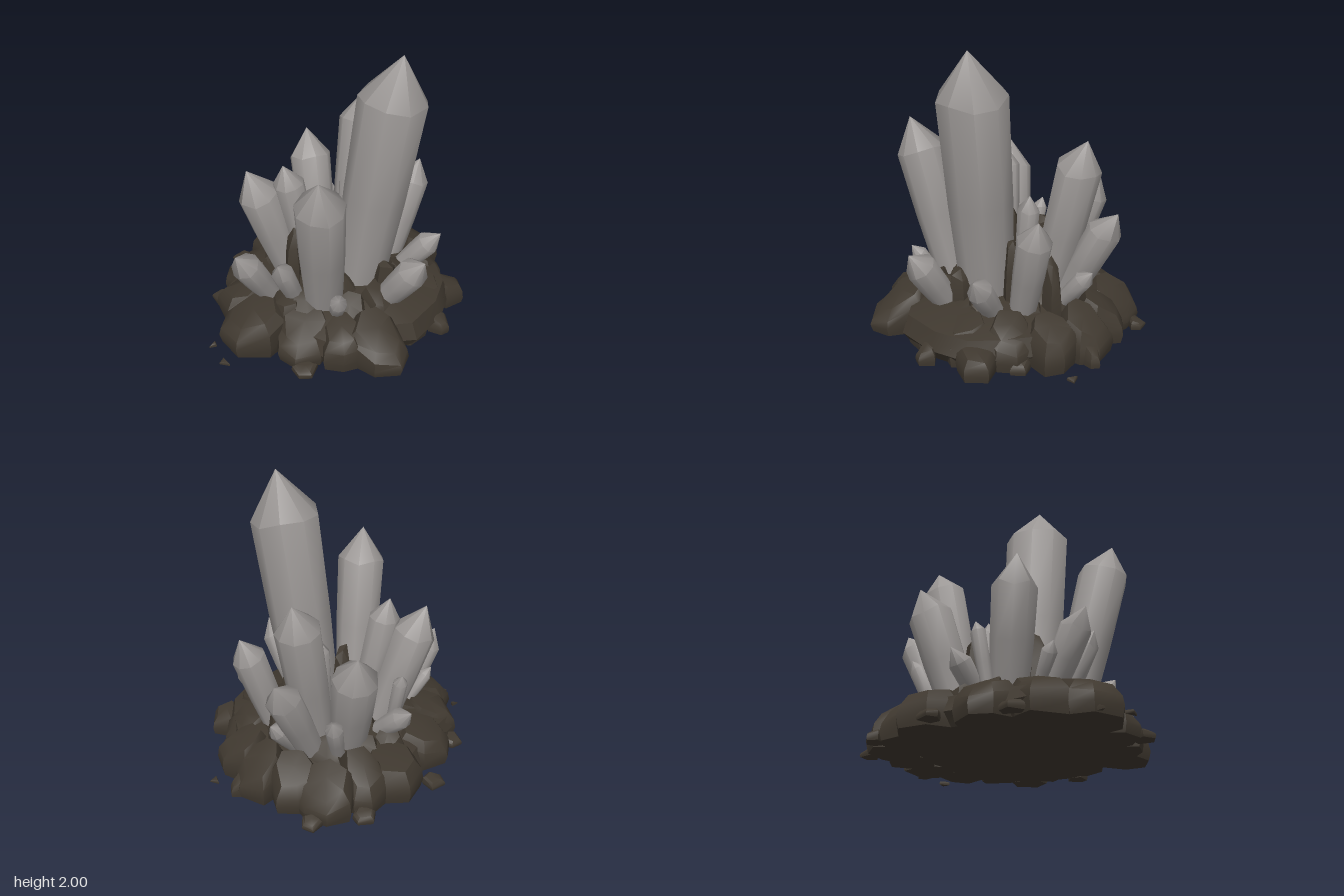
import * as THREE from 'three';
import { toCreasedNormals } from 'three/addons/utils/BufferGeometryUtils.js';

let seed = 7;
const rand = () => (seed = (seed * 16807) % 2147483647) / 2147483647;
const jit = (a) => (rand() * 2 - 1) * a;
const V = (x, y, z) => new THREE.Vector3(x, y, z);

// Closed solid through a stack of rings, pinched to a point at both ends
function loft(bottom, rings, top, crease) {
  const pos = [];
  const tri = (...pts) => pts.forEach((p) => pos.push(p.x, p.y, p.z));
  const n = rings[0].length;
  for (let j = 0; j < n; j++) {
    const k = (j + 1) % n;
    tri(bottom, rings[0][k], rings[0][j]);
    for (let i = 0; i < rings.length - 1; i++) {
      const [a, b] = [rings[i], rings[i + 1]];
      tri(a[j], a[k], b[k]);
      tri(a[j], b[k], b[j]);
    }
    const last = rings[rings.length - 1];
    tri(last[j], last[k], top);
  }
  const g = new THREE.BufferGeometry();
  g.setAttribute('position', new THREE.Float32BufferAttribute(pos, 3));
  return toCreasedNormals(g, crease);
}

// Leaning prism from the mound to a pointed tip; the point leans a little further out than the body
function crystalGeometry(x, z, tx, ty, tz, r) {
  const sides = 9;
  const b = V(x, 0.26, z), t = V(tx, ty, tz);
  const f = 1 - (1.35 * r) / b.distanceTo(t);
  const s = b.clone().lerp(t, f);
  s.x -= (s.x - x) * 0.05;
  s.z -= (s.z - z) * 0.05;
  const d = s.clone().sub(b).normalize();
  const u = V(1, 0, 0).addScaledVector(d, -d.x).normalize();
  const v = d.clone().cross(u);
  const turn = rand() * 6;
  const lift = Array.from({ length: sides }, () => jit(0.14 * r));
  const ring = (along, radius, uneven) => lift.map((up, j) => {
    const a = turn + (j / sides) * Math.PI * 2;
    return b.clone().lerp(s, along)
      .addScaledVector(u, Math.cos(a) * radius)
      .addScaledVector(v, Math.sin(a) * radius)
      .addScaledVector(d, up * uneven);
  });
  return loft(b, [ring(0, r * 0.8, 0), ring(0.5, r * 0.94, 0), ring(1, r, 1)], t, 0.8);
}

// Chunky boulder with a flat foot and an uneven, chamfered top that slopes away from the centre
function rockGeometry(x, z, r, y0, h, sides = 6, slope = 0.2) {
  const turn = rand() * 6;
  const spread = Array.from({ length: sides }, () => [jit(0.25), 1 + jit(0.13)]);
  const tx = jit(0.1) - x * slope, tz = jit(0.1) - z * slope;
  const ring = (f, y, bump) => spread.map(([da, k], j) => {
    const a = turn - ((j + da) / sides) * Math.PI * 2;
    const c = Math.cos(a), s = Math.sin(a);
    return V(x + c * r * k * f, y0 + h * (y + (tx * c + tz * s + jit(0.04)) * bump), z + s * r * k * f);
  });
  return loft(V(x, y0, z), [ring(0.96, 0, 0), ring(1.04, 0.3, 0.3), ring(0.98, 0.66, 1), ring(0.7, 0.93, 1)],
    V(x, y0 + h, z), 0.6);
}

export function createModel() {
  seed = 7;
  const model = new THREE.Group();
  const crystal = new THREE.MeshStandardMaterial({ color: 0x9b9795 });
  crystal.name = 'greyCrystal';
  const stone = new THREE.MeshStandardMaterial({ color: 0x3f382f });
  stone.name = 'darkStone';
  const group = (name) => {
    const g = new THREE.Group();
    g.name = name;
    model.add(g);
    return g;
  };
  const add = (parent, name, geometry, material) => {
    const m = new THREE.Mesh(geometry, material);
    m.name = name;
    parent.add(m);
  };

  // Large crystals: base x, z, tip x, y, z, radius
  const crystals = group('crystals');
  [
    [0.2, -0.04, 0.45, 2.0, -0.085, 0.23],
    [0.1, 0.33, 0.21, 1.4, 0.61, 0.166],
    [-0.05, -0.37, -0.06, 1.4, -0.64, 0.15],
    [-0.08, -0.5, -0.08, 0.95, -0.87, 0.115],
    [-0.28, 0.09, -0.5, 1.12, 0.28, 0.148],
    [-0.14, 0.05, -0.28, 1.16, 0.17, 0.106],
    [-0.25, -0.29, -0.45, 1.08, -0.5, 0.15],
    [0.28, -0.39, 0.41, 0.99, -0.59, 0.115],
  ].forEach((c) => add(crystals, 'largeCrystal', crystalGeometry(...c), crystal));

  // Small crystals around them
  [
    [0.01, -0.2, 0.02, 0.96, -0.26, 0.075],
    [0.47, 0.1, 0.76, 0.69, 0.17, 0.105],
    [0.42, -0.26, 0.7, 0.61, -0.3, 0.085],
    [-0.29, 0.4, -0.37, 0.71, 0.68, 0.1],
    [-0.09, 0.38, -0.1, 0.67, 0.6, 0.075],
    [-0.36, -0.07, -0.63, 0.52, -0.11, 0.075],
    [-0.4, 0.02, -0.5, 0.72, -0.02, 0.05],
    [-0.34, 0.34, -0.45, 0.5, 0.5, 0.05],
    [0.23, 0.4, 0.32, 0.49, 0.54, 0.058],
    [0.02, -0.53, 0.04, 0.55, -0.77, 0.065],
    [-0.27, -0.45, -0.34, 0.63, -0.62, 0.06],
  ].forEach((c) => add(crystals, 'smallCrystal', crystalGeometry(...c), crystal));

  // Solid mound under the loose rocks
  const base = group('rockBase');
  add(base, 'mound', rockGeometry(0, -0.03, 0.72, 0.01, 0.29, 18), stone);

  // Rim boulders: x, z, radius
  [
    [0.56, 0.43, 0.21], [-0.28, 0.64, 0.21], [0.08, 0.58, 0.19], [0.33, 0.53, 0.16],
    [-0.59, 0.13, 0.2], [-0.59, -0.27, 0.2], [-0.48, 0.41, 0.19], [-0.35, -0.71, 0.19],
    [-0.5, -0.5, 0.17], [-0.12, -0.75, 0.17], [0.13, -0.77, 0.18], [0.36, -0.66, 0.17],
    [0.5, -0.46, 0.17], [0.62, -0.17, 0.17], [0.61, 0.1, 0.17],
  ].forEach(([x, z, r]) => add(base, 'rimRock', rockGeometry(x, z, r, 0.01, 0.27 + jit(0.02), 7, 0.35), stone));

  // Pebbles fallen around the rim: x, z, radius, height
  [
    [0.76, -0.37, 0.13, 0.17], [0.82, -0.01, 0.08, 0.12], [0.18, 0.77, 0.08, 0.06],
    [-0.72, 0.37, 0.075, 0.06], [-0.82, -0.11, 0.075, 0.06], [-0.61, -0.66, 0.075, 0.07],
    [-0.36, -0.9, 0.065, 0.06], [0.57, -0.57, 0.07, 0.08], [0.23, -0.9, 0.06, 0.12],
  ].forEach(([x, z, r, h]) => add(base, 'pebble', rockGeometry(x, z, r, 0.01, h, 5), stone));

  // Thin splinters lying on the ground
  [[0.44, -0.89, 0.04], [-0.34, 0.93, 0.04], [-0.51, 0.82, 0.03]]
    .forEach(([x, z, r]) => add(base, 'splinter', rockGeometry(x, z, r, 0, 0.025, 3), stone));

  // Two rings of rocks climbing towards the middle
  [[0.49, 13, 0.13, 0.28], [0.27, 9, 0.12, 0.34]].forEach(([radius, count, size, h]) => {
    for (let i = 0; i < count; i++) {
      const a = ((i + jit(0.25)) / count) * Math.PI * 2;
      const x = Math.cos(a) * radius, z = Math.sin(a) * radius - 0.02;
      add(base, 'innerRock', rockGeometry(x, z, size + jit(0.025), 0.05, h + jit(0.03), 6, 0.4), stone);
    }
  });

  // Upright stone blocks wedged between the crystals: x, z, radius, height
  [
    [-0.19, -0.21, 0.1, 0.64], [-0.06, -0.07, 0.075, 0.7], [0.16, -0.54, 0.07, 0.48],
    [0.42, 0.02, 0.09, 0.4], [-0.17, 0.25, 0.07, 0.58], [0.04, 0.16, 0.075, 0.36],
    [0.24, -0.28, 0.065, 0.62],
  ].forEach(([x, z, r, h]) => add(base, 'wedgedRock', rockGeometry(x, z, r, 0.1, h, 5), stone));

  return model;
}
